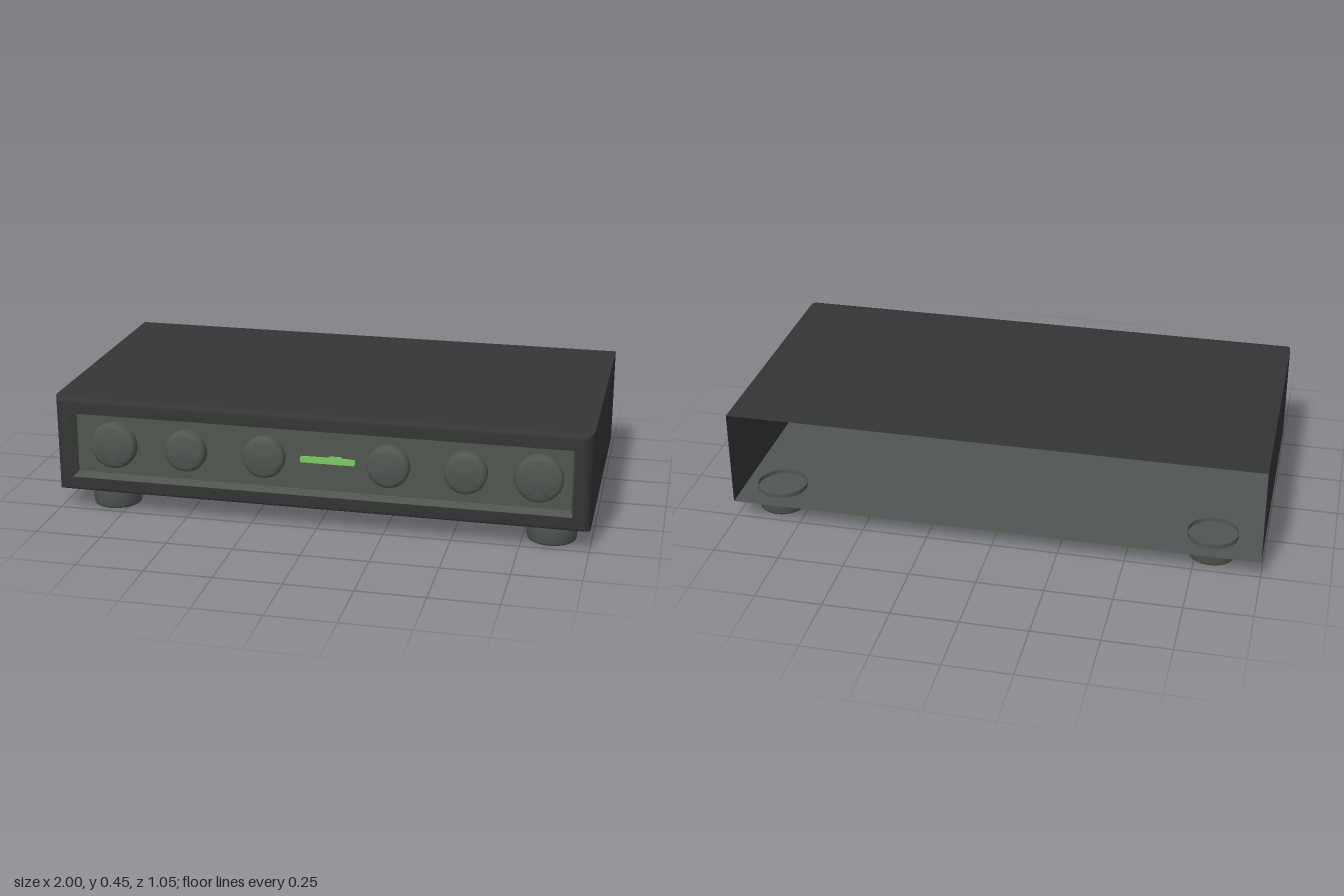
import * as THREE from 'three';
import { toCreasedNormals } from 'three/addons/utils/BufferGeometryUtils.js';

const MID_Y = 0.262;

// Skin over rectangular rings [halfWidth, halfHeight, z]; skips the underside of the first band if asked
function rectLoft(rings, openFirstBottom = false) {
  const corners = rings.map(([w, h, z]) => [
    [-w, MID_Y - h, z], [w, MID_Y - h, z], [w, MID_Y + h, z], [-w, MID_Y + h, z],
  ]);
  const pos = [];
  for (let i = 0; i < corners.length - 1; i++) {
    for (let k = 0; k < 4; k++) {
      if (openFirstBottom && i === 0 && k === 0) continue;
      const n = (k + 1) % 4;
      const a = corners[i], b = corners[i + 1];
      pos.push(...a[k], ...a[n], ...b[n], ...a[k], ...b[n], ...b[k]);
    }
  }
  const geo = new THREE.BufferGeometry();
  geo.setAttribute('position', new THREE.Float32BufferAttribute(pos, 3));
  geo.computeVertexNormals();
  return toCreasedNormals(geo, 0.5);
}

function lathe(points, segments = 40) {
  const geo = new THREE.LatheGeometry(points.map(([r, y]) => new THREE.Vector2(r, y)), segments);
  return toCreasedNormals(geo, 0.7);
}

export function createModel() {
  const model = new THREE.Group();
  model.name = 'audioUnit';

  const caseMat = new THREE.MeshStandardMaterial({ color: 0x353535, side: THREE.DoubleSide });
  caseMat.name = 'charcoal case';
  const panelMat = new THREE.MeshStandardMaterial({ color: 0x515651, side: THREE.DoubleSide });
  panelMat.name = 'grey panel';
  const lightMat = new THREE.MeshStandardMaterial({ color: 0x7ccb68, side: THREE.DoubleSide });
  lightMat.name = 'green display';

  const add = (name, geo, mat, x = 0, y = 0, z = 0) => {
    const mesh = new THREE.Mesh(geo, mat);
    mesh.name = name;
    mesh.position.set(x, y, z);
    model.add(mesh);
    return mesh;
  };

  // Case: open at the back, rounded towards the front, ending in a flat frame
  const rings = [[1, 0.185, -0.523]];
  for (let i = 0; i <= 4; i++) {
    const t = (i / 4) * Math.PI / 2;
    rings.push([
      1 - 0.037 * (1 - Math.cos(t)),
      0.185 - 0.018 * (1 - Math.cos(t)),
      0.475 + 0.048 * Math.sin(t),
    ]);
  }
  rings.push([0.937, 0.126, 0.523]);
  add('case', rectLoft(rings, true), caseMat);

  // Floor plate
  const floor = new THREE.PlaneGeometry(2, 0.998).rotateX(-Math.PI / 2);
  add('floor', floor, panelMat, 0, 0.077, -0.024);

  // Recessed front panel
  add('recessWalls', rectLoft([[0.937, 0.126, 0.523], [0.928, 0.118, 0.475]]), panelMat);
  add('frontPanel', new THREE.PlaneGeometry(1.856, 0.236), panelMat, 0, MID_Y, 0.475);

  // Knobs with softened rims
  const knobs = [[-0.78, 0.088], [-0.5, 0.079], [-0.2, 0.079], [0.265, 0.079], [0.547, 0.079], [0.81, 0.088]];
  for (const [x, r] of knobs) {
    const geo = lathe([
      [r, 0], [r, 0.022], [r - 0.003, 0.031], [r - 0.01, 0.037], [r - 0.02, 0.04], [0, 0.042],
    ]).rotateX(Math.PI / 2);
    add('knob', geo, panelMat, x, MID_Y, 0.475);
  }

  // Thin lit bar between the knobs, slightly raised in the middle
  const bar = new THREE.Shape();
  bar.moveTo(-0.1, -0.013);
  bar.lineTo(0.098, -0.013);
  bar.lineTo(0.103, -0.006);
  bar.lineTo(0.103, 0.01);
  bar.lineTo(0.055, 0.012);
  bar.lineTo(0.05, 0.017);
  bar.lineTo(0.008, 0.017);
  bar.lineTo(0.003, 0.012);
  bar.lineTo(-0.1, 0.011);
  bar.lineTo(-0.103, 0.004);
  bar.lineTo(-0.103, -0.008);
  bar.closePath();
  const barGeo = new THREE.ExtrudeGeometry(bar, { depth: 0.005, bevelEnabled: false });
  add('displayBar', barGeo, lightMat, 0.037, MID_Y, 0.475);

  // Hollow feet, poking slightly through the floor
  const footGeo = lathe([
    [0.084, 0.004], [0.086, 0], [0.089, 0.002], [0.091, 0.008], [0.094, 0.06], [0.094, 0.094],
  ]);
  for (const x of [-0.81, 0.855]) {
    for (const z of [0.386, -0.375]) add('foot', footGeo, panelMat, x, 0, z);
  }

  return model;
}
